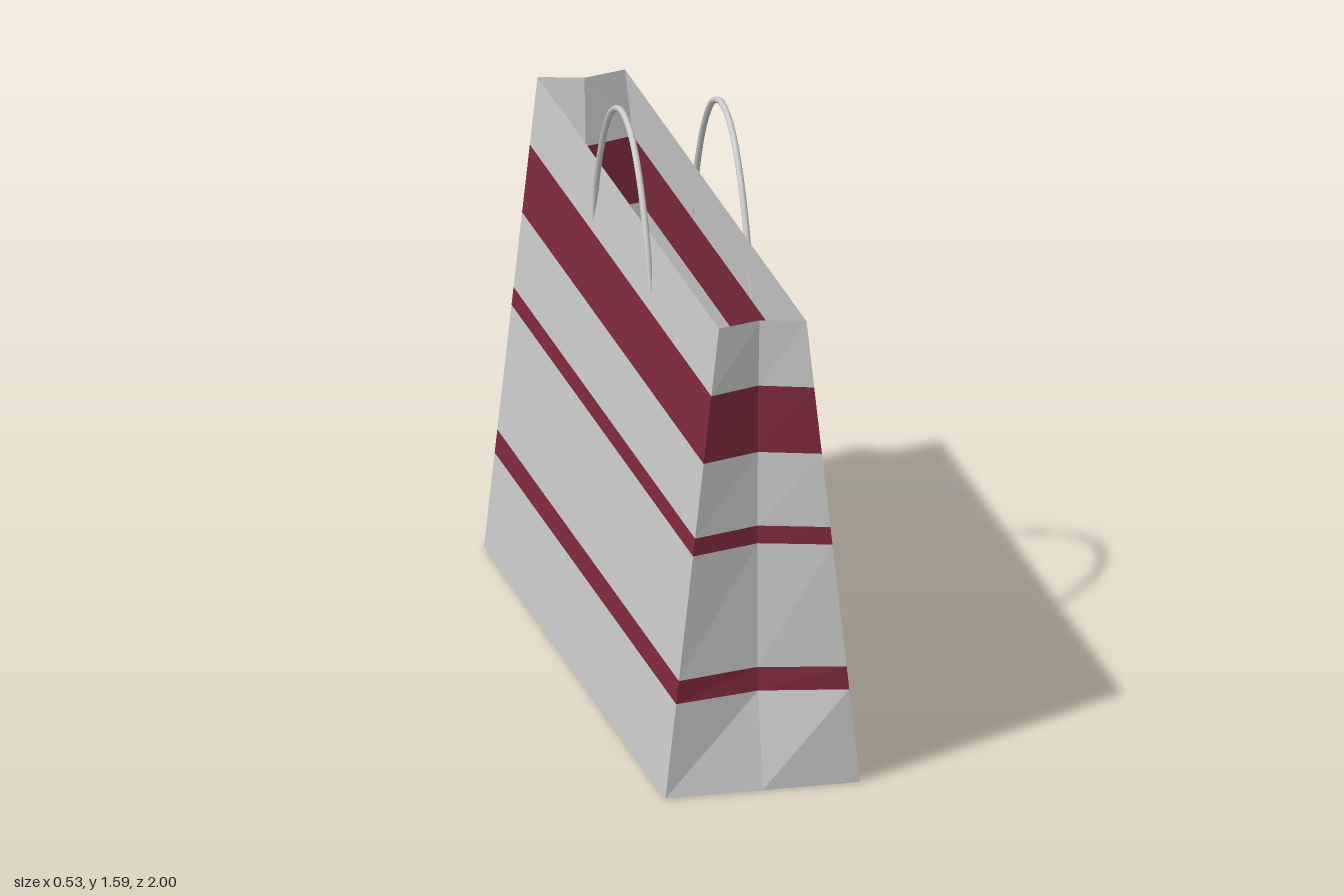
import * as THREE from 'three';

const HEIGHT = 1.32;
const halfWidth = y => 0.267 - 0.1114 * y;

// Levels up the bag: height, depth of the gusset fold, and whether the band above is red
const LEVELS = [
  [0, 0, false], [0.265, 0.05, true], [0.33, 0.056, false], [0.68, 0.058, true],
  [0.73, 0.058, false], [0.94, 0.055, true], [1.13, 0.05, false], [HEIGHT, 0.036, false],
];

// Outline at one level, counter-clockwise seen from above
function outline([y, fold]) {
  const w = halfWidth(y);
  return [[w, 1], [w, -1], [0, -1 + fold], [-w, -1], [-w, 1], [0, 1 - fold]].map(([x, z]) => [x, y, z]);
}

// Flat-shaded wall between two levels
function bandGeometry(low, high) {
  const a = outline(low), b = outline(high), pos = [];
  for (let i = 0; i < a.length; i++) {
    const j = (i + 1) % a.length;
    pos.push(...a[i], ...a[j], ...b[j], ...a[i], ...b[j], ...b[i]);
  }
  const geo = new THREE.BufferGeometry();
  geo.setAttribute('position', new THREE.Float32BufferAttribute(pos, 3));
  geo.computeVertexNormals();
  return geo;
}

// Arched cord whose feet taper to a point
function handleGeometry() {
  const half = [[0.325, 1.14], [0.27, 1.315], [0.19, 1.46], [0.1, 1.55]];
  const points = [...half, [0, 1.58], ...half.slice().reverse().map(([z, y]) => [-z, y])];
  const curve = new THREE.CatmullRomCurve3(points.map(([z, y]) => new THREE.Vector3(0, y, z)));
  const steps = 48, sides = 8;
  const geo = new THREE.TubeGeometry(curve, steps, 0.009, sides);
  const p = geo.attributes.position, v = new THREE.Vector3();
  for (let i = 0; i <= steps; i++) {
    const centre = curve.getPointAt(i / steps);
    const scale = Math.min(1, 0.05 + Math.min(i, steps - i) / 5);
    for (let k = 0; k <= sides; k++) {
      const n = i * (sides + 1) + k;
      v.fromBufferAttribute(p, n).sub(centre).multiplyScalar(scale).add(centre);
      p.setXYZ(n, v.x, v.y, v.z);
    }
  }
  return geo;
}

export function createModel() {
  const model = new THREE.Group();
  model.name = 'shoppingBag';
  const paper = new THREE.MeshStandardMaterial({ color: 0xcccccc, side: THREE.DoubleSide, flatShading: true });
  const red = new THREE.MeshStandardMaterial({ color: 0x7f2a3c, side: THREE.DoubleSide, flatShading: true });
  const cord = new THREE.MeshStandardMaterial({ color: 0xcccccc });

  const add = (name, geo, mat) => {
    const mesh = new THREE.Mesh(geo, mat);
    mesh.name = name;
    model.add(mesh);
    return mesh;
  };

  // Tapering walls with gusseted ends, open at the top
  for (let i = 0; i < LEVELS.length - 1; i++) {
    const isRed = LEVELS[i][2];
    add((isRed ? 'redStripe' : 'wallPanel') + i, bandGeometry(LEVELS[i], LEVELS[i + 1]), isRed ? red : paper);
  }

  // Flat base
  add('base', new THREE.PlaneGeometry(2 * halfWidth(0), 2).rotateX(Math.PI / 2), paper);

  // One handle on each long wall
  const handle = handleGeometry();
  add('leftHandle', handle, cord).position.x = 0.137;
  add('rightHandle', handle, cord).position.x = -0.137;
  return model;
}
